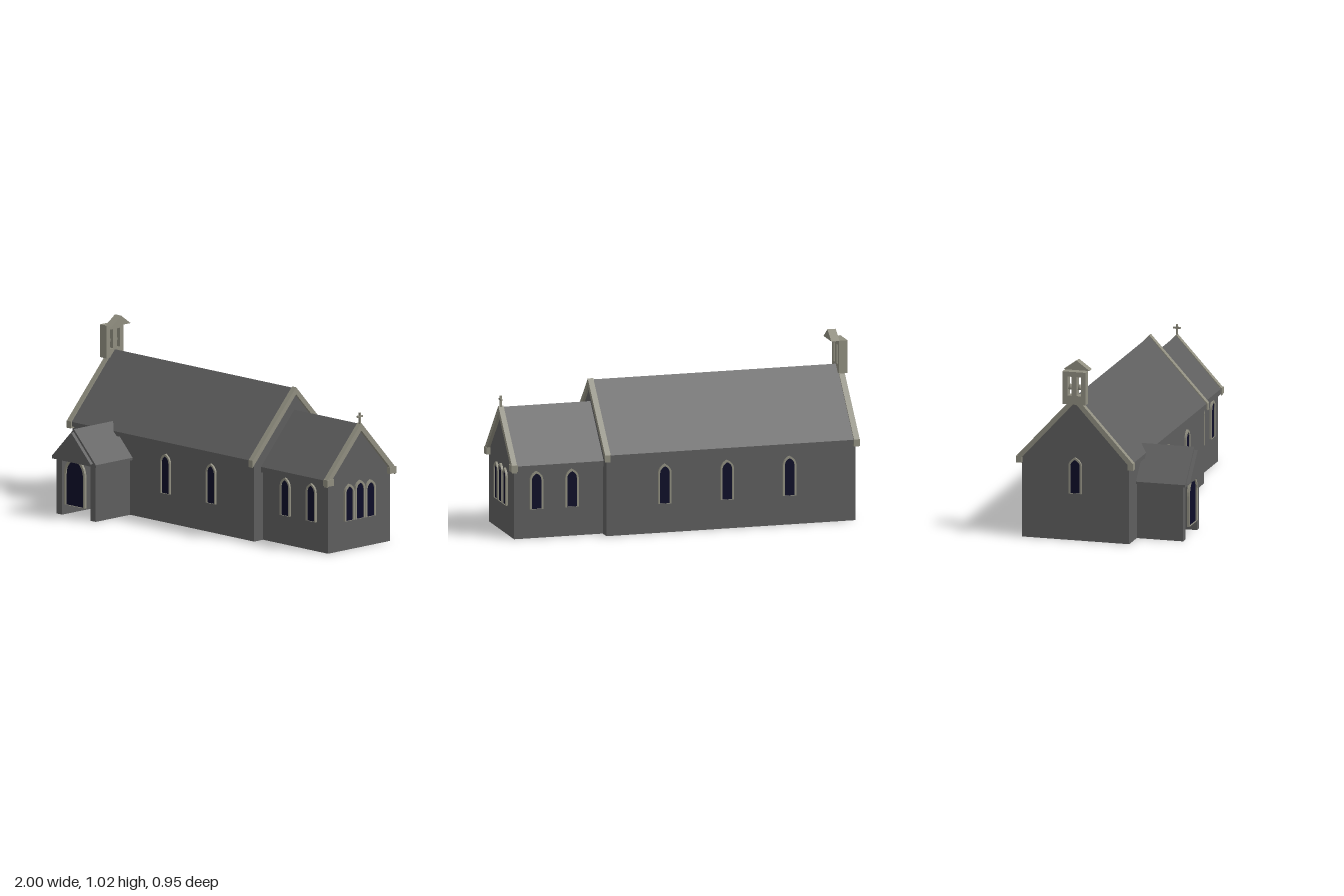
import * as THREE from 'three';

const stone = new THREE.MeshStandardMaterial({ color: 0x5e5e5e });
stone.name = 'grey stone';
const trim = new THREE.MeshStandardMaterial({ color: 0x908e80 });
trim.name = 'pale trim';
const glass = new THREE.MeshStandardMaterial({ color: 0x0c0c28 });
glass.name = 'dark glass';

const AXIS = -0.14; // z of the main ridge

function poly(points) {
  return new THREE.Shape(points.map(([x, y]) => new THREE.Vector2(x, y)));
}

function extrude(shape, depth) {
  return new THREE.ExtrudeGeometry(shape, { depth, bevelEnabled: false, curveSegments: 6 });
}

function add(parent, name, geometry, material) {
  const mesh = new THREE.Mesh(geometry, material);
  mesh.name = name;
  parent.add(mesh);
  return mesh;
}

// Box given by its limits on each axis
function box(parent, name, material, x0, x1, y0, y1, z0, z1) {
  const mesh = add(parent, name, new THREE.BoxGeometry(x1 - x0, y1 - y0, z1 - z0), material);
  mesh.position.set((x0 + x1) / 2, (y0 + y1) / 2, (z0 + z1) / 2);
  return mesh;
}

// Symmetric cross-section swept along x, centred on the main ridge
function alongX(parent, name, material, shape, x0, x1) {
  const mesh = add(parent, name, extrude(shape, x1 - x0).rotateY(Math.PI / 2), material);
  mesh.position.set(x0, 0, AXIS);
  return mesh;
}

// Solid gabled roof with a vertical eaves edge
function gable(half, bottom, eaves, ridge) {
  return poly([[-half, bottom], [half, bottom], [half, eaves], [0, ridge], [-half, eaves]]);
}

// Sloping band that caps a gable
function chevron(half, eaves, ridge, t) {
  return poly([[-half, eaves - t], [0, ridge - t], [half, eaves - t], [half, eaves], [0, ridge], [-half, eaves]]);
}

// Pointed arch, from the sill at y = 0
function lancet(path, w, spring, top, sill = 0) {
  const bulge = top - (top - spring) * 0.35;
  path.moveTo(-w, sill);
  path.lineTo(w, sill);
  path.lineTo(w, spring);
  path.quadraticCurveTo(w, bulge, 0, top);
  path.quadraticCurveTo(-w, bulge, -w, spring);
  path.lineTo(-w, sill);
  return path;
}

// Arched opening facing +z: pane plus raised surround
function archedWindow(parent, name, w, height, border, x, y, z, turn = 0, depth = 0.012) {
  const group = new THREE.Group();
  group.name = name;
  const spring = height - w * 1.35;
  const frame = lancet(new THREE.Shape(), w, spring, height);
  frame.holes.push(lancet(new THREE.Path(), w - border, spring, height - border * 1.3, 0.001));
  add(group, 'surround', extrude(frame, depth), trim);
  const pane = lancet(new THREE.Shape(), w - border, spring, height - border * 1.3);
  add(group, 'pane', extrude(pane, 0.006), glass);
  group.position.set(x, y, z);
  group.rotation.y = turn;
  parent.add(group);
  return group;
}

function buildNave(root) {
  const nave = new THREE.Group();
  nave.name = 'nave';
  box(nave, 'naveWalls', stone, -0.972, 0.465, 0, 0.44, AXIS - 0.31, AXIS + 0.31);
  alongX(nave, 'naveRoof', stone, gable(0.33, 0.435, 0.46, 0.822), -0.972, 0.465);
  for (const [x0, x1] of [[-0.99, -0.957], [0.448, 0.48]]) {
    alongX(nave, 'naveCoping', trim, chevron(0.336, 0.463, 0.829, 0.04), x0, x1);
  }
  for (const s of [-1, 1]) {
    const z = AXIS + s * 0.322;
    box(nave, 'naveKneeler', trim, -0.992, -0.955, 0.425, 0.463, z - 0.015, z + 0.015);
  }
  // Two windows on the porch side, three on the other
  for (const x of [0.13, -0.23]) archedWindow(nave, 'naveWindow', 0.038, 0.225, 0.01, x, 0.165, 0.17);
  for (const x of [0.13, -0.23, -0.59]) archedWindow(nave, 'naveWindow', 0.038, 0.225, 0.01, x, 0.165, -0.45, Math.PI);
  archedWindow(nave, 'westWindow', 0.038, 0.205, 0.01, -0.972, 0.268, AXIS, -Math.PI / 2);
  root.add(nave);
}

function buildChancel(root) {
  const chancel = new THREE.Group();
  chancel.name = 'chancel';
  box(chancel, 'chancelWalls', stone, 0.46, 0.977, 0, 0.39, AXIS - 0.24, AXIS + 0.24);
  alongX(chancel, 'chancelRoof', stone, gable(0.258, 0.385, 0.415, 0.7), 0.46, 0.977);
  alongX(chancel, 'chancelCoping', trim, chevron(0.262, 0.42, 0.706, 0.042), 0.966, 0.996);
  for (const s of [-1, 1]) {
    const z = AXIS + s * 0.241;
    box(chancel, 'chancelKneeler', trim, 0.962, 1.0, 0.385, 0.422, z - 0.025, z + 0.025);
    for (const x of [0.645, 0.85]) {
      archedWindow(chancel, 'chancelWindow', 0.038, 0.215, 0.01, x, 0.165, AXIS + s * 0.24, s > 0 ? 0 : Math.PI);
    }
  }
  // Triple east window, the middle light a little taller
  for (const i of [-1, 0, 1]) {
    archedWindow(chancel, 'eastWindow', 0.038, i === 0 ? 0.218 : 0.208, 0.011, 0.977, 0.165, AXIS + i * 0.082, Math.PI / 2);
  }
  // Gable cross
  box(chancel, 'crossUpright', trim, 0.977, 0.988, 0.695, 0.763, AXIS - 0.005, AXIS + 0.005);
  box(chancel, 'crossArm', trim, 0.977, 0.988, 0.737, 0.747, AXIS - 0.021, AXIS + 0.021);
  root.add(chancel);
}

function buildPorch(root) {
  const porch = new THREE.Group();
  porch.name = 'porch';
  const cx = -0.67;
  box(porch, 'porchWall', stone, -0.825, -0.78, 0, 0.34, 0.165, 0.437);
  box(porch, 'porchWall', stone, -0.557, -0.515, 0, 0.34, 0.165, 0.437);
  const roof = add(porch, 'porchRoof', extrude(gable(0.174, 0.312, 0.326, 0.504), 0.305), stone);
  roof.position.set(cx, 0, 0.15);
  const front = add(porch, 'porchGable', extrude(poly([[-0.153, 0.33], [0.153, 0.33], [0, 0.487]]), 0.023), stone);
  front.position.set(cx, 0, 0.453);
  archedWindow(porch, 'porchDoor', 0.082, 0.285, 0.014, cx, 0.065, 0.437, 0, 0.014);
  root.add(porch);
}

function buildBelfry(root) {
  const belfry = new THREE.Group();
  belfry.name = 'belfry';
  const h = 0.067;
  const wall = poly([[-h, 0.78], [h, 0.78], [h, 0.966], [-h, 0.966]]);
  for (const c of [-0.027, 0.027]) {
    const hole = new THREE.Path();
    hole.moveTo(c - 0.012, 0.83);
    hole.lineTo(c - 0.012, 0.938);
    hole.lineTo(c + 0.012, 0.938);
    hole.lineTo(c + 0.012, 0.83);
    hole.closePath();
    wall.holes.push(hole);
    // Bell hanging in the opening
    const profile = [[0, 0.018], [0.008, 0.014], [0.011, 0], [0.014, -0.012], [0, -0.012]];
    const bell = add(belfry, 'bell',
      new THREE.LatheGeometry(profile.map(([x, y]) => new THREE.Vector2(x, y)).reverse(), 12), trim);
    bell.position.set(-0.975, 0.875, AXIS + c);
  }
  alongX(belfry, 'belfryWall', trim, wall, -1.0, -0.952);
  alongX(belfry, 'belfryRoof', trim, poly([[-0.075, 0.966], [0.075, 0.966], [0, 1.02]]), -0.952, -0.904);
  root.add(belfry);
}

export function createModel() {
  const root = new THREE.Group();
  root.name = 'chapel';
  buildNave(root);
  buildChancel(root);
  buildPorch(root);
  buildBelfry(root);
  return root;
}
